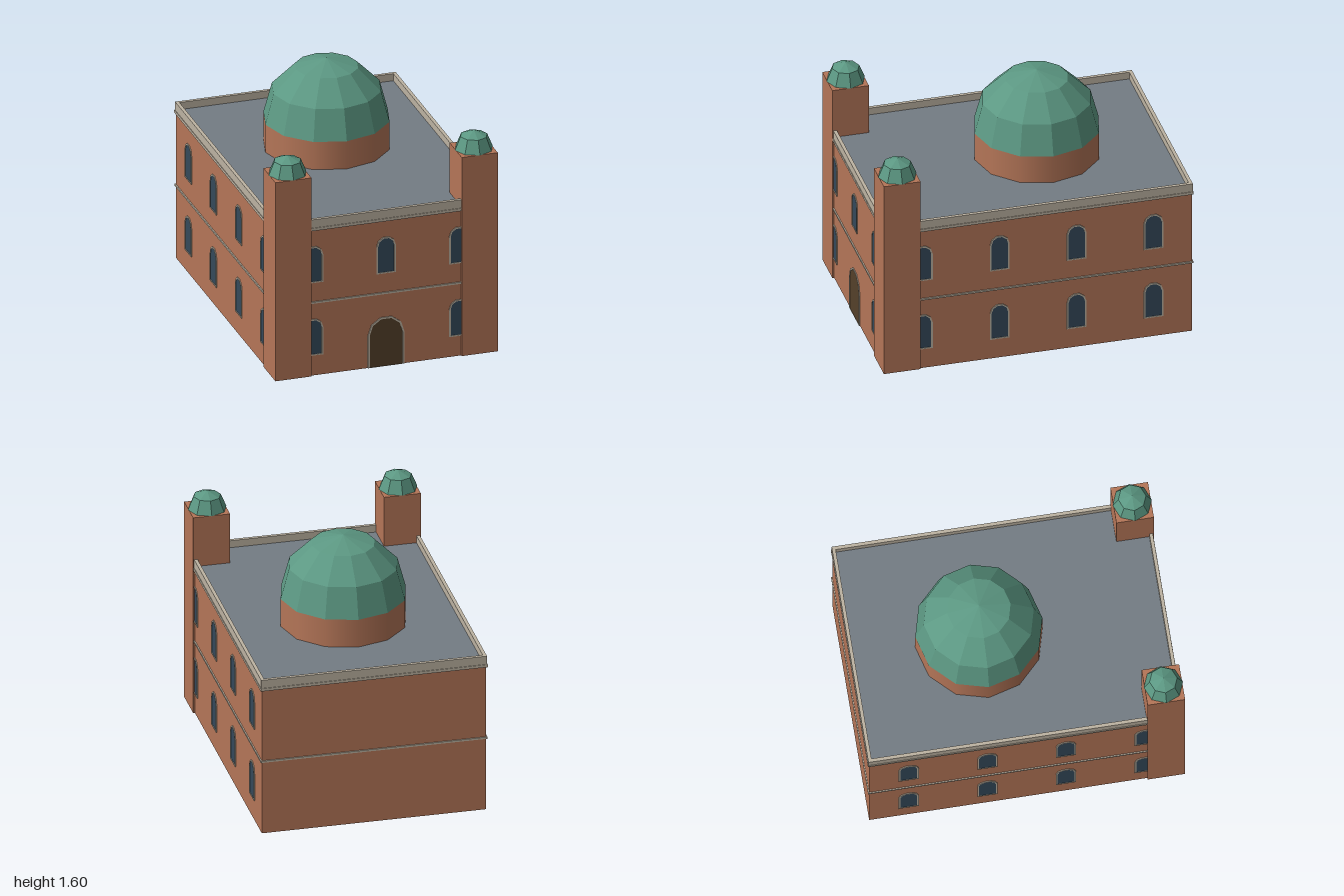
import * as THREE from 'three';

const mat = (name, color, extra = {}) => {
  const m = new THREE.MeshStandardMaterial({ color, ...extra });
  m.name = name;
  return m;
};

export function createModel() {
  const brick = mat('brick', 0xb57658, { side: THREE.DoubleSide });
  const stone = mat('stone', 0xbdb3a2);
  const slate = mat('slate', 0x747c84);
  const copper = mat('copper', 0x5c9883, { flatShading: true });
  const glass = mat('glass', 0x34495a);
  const wood = mat('wood', 0x54402a);

  const model = new THREE.Group();
  model.name = 'domedBuilding';

  const add = (name, geometry, material, x = 0, y = 0, z = 0, parent = model) => {
    const mesh = new THREE.Mesh(geometry, material);
    mesh.name = name;
    mesh.position.set(x, y, z);
    parent.add(mesh);
    return mesh;
  };

  // Box standing on y = 0 with no floor
  const openBox = (w, h, d) => {
    const g = new THREE.BoxGeometry(w, h, d).translate(0, h / 2, 0);
    const index = Array.from(g.index.array);
    index.splice(18, 6);
    g.setIndex(index);
    g.clearGroups();
    return g;
  };

  // Main hall: wall half sizes, shifted slightly back
  const W = 0.717, D = 0.987, ZC = -0.004;
  add('walls', openBox(W * 2, 0.99, D * 2), brick, 0, 0, ZC);

  // Solid stone slabs showing as bands around the walls
  const slab = (name, y0, y1, out) =>
    add(name, new THREE.BoxGeometry((W + out) * 2, y1 - y0, (D + out) * 2), stone, 0, (y0 + y1) / 2, ZC);
  slab('stringCourse', 0.49, 0.502, 0.008);
  slab('cornice', 0.985, 1.004, 0.009);

  // Parapet ring and the flat roof inside it
  const rect = (Type, x, z) => new Type([[-x, -z], [x, -z], [x, z], [-x, z]].map(p => new THREE.Vector2(...p)));
  const ring = rect(THREE.Shape, W + 0.005, D + 0.005);
  ring.holes.push(rect(THREE.Path, 0.7, 0.97));
  const parapet = new THREE.ExtrudeGeometry(ring, { depth: 0.056, bevelEnabled: false });
  add('parapet', parapet.rotateX(-Math.PI / 2), stone, 0, 1.004, ZC);
  add('roof', new THREE.BoxGeometry(1.402, 0.008, 1.942), slate, 0, 1.008, ZC);

  // Main dome on its round drum
  add('drum', new THREE.CylinderGeometry(0.4, 0.4, 0.19, 12, 1, true), brick, 0, 1.105, -0.186);
  const halfSphere = (r, sides, rings) =>
    new THREE.SphereGeometry(r, sides, rings, 0, Math.PI * 2, 0, Math.PI / 2);
  add('mainDome', halfSphere(0.4, 12, 3), copper, 0, 1.2, -0.186);

  // Front corner towers with small domes
  for (const [side, s] of [['left', 1], ['right', -1]]) {
    const tower = new THREE.Group();
    tower.name = side + 'Tower';
    tower.position.set(s * 0.61, 0, 0.877);
    model.add(tower);
    add('towerShaft', openBox(0.236, 1.35, 0.236), brick, 0, 0, 0, tower);
    add('towerDome', halfSphere(0.123, 8, 2), copper, 0, 1.35, 0, tower);
  }

  // Five-sided arch outline: half width r, sill y0, spring line y1
  const arch = (Type, r, y0, y1) => {
    const pts = [new THREE.Vector2(-r, y0), new THREE.Vector2(r, y0)];
    for (let i = 0; i <= 5; i++) {
      const a = (i * Math.PI) / 5;
      pts.push(new THREE.Vector2(r * Math.cos(a), y1 + r * Math.sin(a)));
    }
    return new Type(pts);
  };

  // Thin framed opening, built facing +z
  const opening = (name, r, spring, border, sill, pane) => {
    const group = new THREE.Group();
    group.name = name;
    const frame = arch(THREE.Shape, r, 0, spring);
    frame.holes.push(arch(THREE.Path, r - border, sill, spring));
    add('frame', new THREE.ExtrudeGeometry(frame, { depth: 0.006, bevelEnabled: false }), stone, 0, 0, 0, group);
    add('pane', new THREE.ShapeGeometry(arch(THREE.Shape, r - border, sill, spring)), pane, 0, 0, 0.003, group);
    return group;
  };

  const FRONT = ZC + D;
  const place = (group, x, y, z, turn = 0) => {
    group.position.set(x, y, z);
    group.rotation.y = turn;
    model.add(group);
  };
  const windowUnit = () => opening('window', 0.063, 0.186, 0.01, 0.008, glass);

  // Two storeys of windows; the door replaces the lower middle one
  for (const y of [0.137, 0.63]) {
    for (const x of [-0.475, 0, 0.475]) {
      if (x !== 0 || y > 0.5) place(windowUnit(), x, y, FRONT);
    }
    for (const s of [1, -1]) {
      for (const z of [0.742, 0.247, -0.248, -0.743]) {
        place(windowUnit(), s * W, y, z, (s * Math.PI) / 2);
      }
    }
  }
  place(opening('door', 0.12, 0.218, 0.012, 0.0005, wood), 0, 0, FRONT);

  return model;
}
